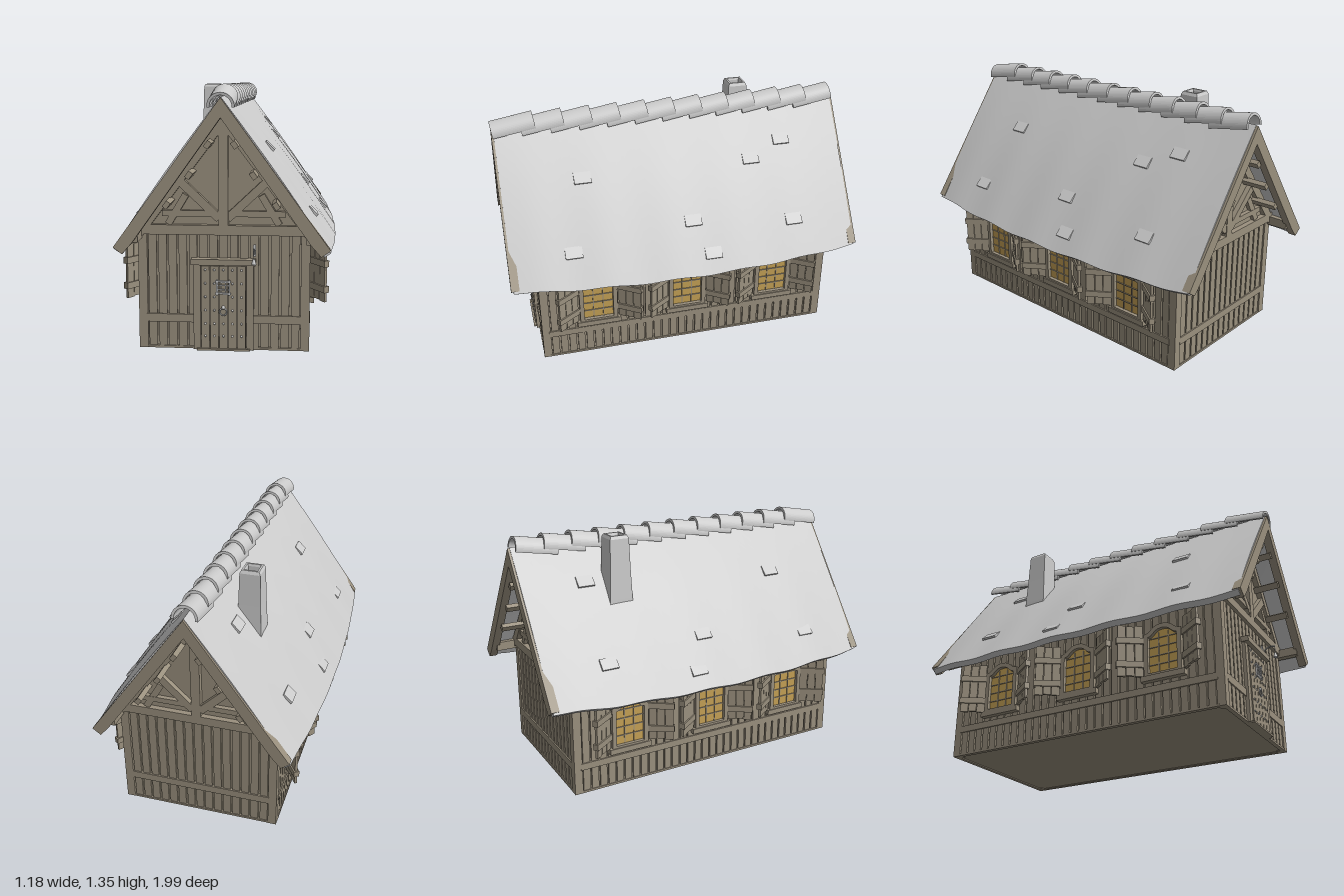
import * as THREE from 'three';

const grey = new THREE.MeshStandardMaterial({ color: 0xcccccc });
const wood = new THREE.MeshStandardMaterial({ color: 0x9a907e });
const glass = new THREE.MeshStandardMaterial({ color: 0xc4a055 });

function add(parent, name, geo, mat, x = 0, y = 0, z = 0) {
  const m = new THREE.Mesh(geo, mat);
  m.name = name;
  m.position.set(x, y, z);
  parent.add(m);
  return m;
}
const box = (parent, name, mat, w, h, d, x, y, z) =>
  add(parent, name, new THREE.BoxGeometry(w, h, d), mat, x, y, z);

function group(parent, name) {
  const g = new THREE.Group();
  g.name = name;
  parent.add(g);
  return g;
}

function extrude(points, depth) {
  const shape = new THREE.Shape(points.map(p => new THREE.Vector2(...p)));
  return new THREE.ExtrudeGeometry(shape, { depth, bevelEnabled: false });
}

// Roof surface: eaves bow outward and sag towards the middle of the house
const eaveX = z => 0.53 + 0.058 * (1 - z * z);
const eaveY = z => 0.545 - 0.027 * (1 - z * z) + 0.005 * Math.sin(17 * z);
const roofY = (t, z) => 1.29 - t * (1.29 - eaveY(z)) + 0.03 * Math.sin(Math.PI * t) * (1 - 0.5 * z * z);
const PITCH = 0.945;

function roofGeometry() {
  const g = new THREE.BoxGeometry(1, 1, 1.964, 14, 1, 40);
  const p = g.attributes.position;
  for (let i = 0; i < p.count; i++) {
    const t = p.getX(i) + 0.5, under = 0.5 - p.getY(i), z = p.getZ(i);
    const drop = 0.035 * under;
    p.setXYZ(i, Math.max(0, t * eaveX(z) - drop * Math.sin(PITCH) * t),
      roofY(t, z) - drop * (t > 0 ? Math.cos(PITCH) + 0.35 * (1 - t) : 1.7), z);
  }
  g.computeVertexNormals();
  return g;
}

// Arched outline used for the window frame, its opening and the pane
function archPath(target, w, bottom, shoulder, top) {
  target.moveTo(-w, bottom);
  target.lineTo(w, bottom);
  target.lineTo(w, shoulder);
  target.bezierCurveTo(w * 0.6, shoulder, w * 0.6, top, 0, top);
  target.bezierCurveTo(-w * 0.6, top, -w * 0.6, shoulder, -w, shoulder);
  return target;
}

// Window with open shutters, facing +z locally
function buildWindow(parent, along) {
  const g = group(parent, 'window');
  g.position.x = along;
  const frame = archPath(new THREE.Shape(), 0.108, 0.22, 0.465, 0.51);
  frame.holes.push(archPath(new THREE.Path(), 0.084, 0.24, 0.445, 0.485));
  add(g, 'windowFrame', new THREE.ExtrudeGeometry(frame, { depth: 0.032, bevelEnabled: false }), wood, 0, 0, 0.425);
  add(g, 'windowPane', new THREE.ShapeGeometry(archPath(new THREE.Shape(), 0.09, 0.235, 0.45, 0.49)), glass, 0, 0, 0.436);
  box(g, 'windowSill', wood, 0.25, 0.03, 0.045, 0, 0.213, 0.44);
  for (const x of [-0.028, 0.028]) box(g, 'glazingBar', wood, 0.005, 0.23, 0.008, x, 0.355, 0.437);
  for (const y of [0.29, 0.34, 0.39, 0.44]) box(g, 'glazingBar', wood, 0.168, 0.005, 0.008, 0, y, 0.437);
  for (const s of [-1, 1]) {
    const sh = group(g, 'shutter');
    sh.position.set(s * 0.118, 0, 0.44);
    sh.rotation.y = -s * 0.6;
    for (let i = 0; i < 3; i++)
      box(sh, 'shutterBoard', wood, 0.043, 0.29 - 0.008 * (i % 2), 0.014, s * (0.024 + i * 0.046), 0.378, 0);
    for (const y of [0.3, 0.435]) box(sh, 'shutterBatten', wood, 0.146, 0.034, 0.03, s * 0.072, y, 0);
  }
}

// Boarded long wall, facing +z locally
function buildSide(parent, angle) {
  const g = group(parent, 'sideWall');
  g.rotation.y = angle;
  const n = 32, pitch = 1.6 / n;
  for (let i = 0; i < n; i++)
    box(g, 'wallBoard', wood, pitch - 0.01, 0.6, 0.014, -0.8 + pitch * (i + 0.5), 0.3, 0.425);
  box(g, 'wallRail', wood, 1.62, 0.038, 0.025, 0, 0.158, 0.426);
  box(g, 'sillBeam', wood, 1.62, 0.012, 0.025, 0, 0.006, 0.424);
  for (const x of [-0.52, 0, 0.52]) buildWindow(g, x);
}

// Beam between two points in the gable plane
function beam(g, name, a, b, w, d, z) {
  const dx = b[0] - a[0], dy = b[1] - a[1];
  const m = box(g, name, wood, Math.hypot(dx, dy), w, d, (a[0] + b[0]) / 2, (a[1] + b[1]) / 2, z);
  m.rotation.z = Math.atan2(dy, dx);
}

// Gable wall with timber framing and overhanging barge boards, facing +z locally
function buildGable(parent, angle) {
  const g = group(parent, 'gableWall');
  g.rotation.y = angle;
  for (let i = 0; i < 15; i++)
    box(g, 'wallBoard', wood, 0.042, 0.6, 0.014, -0.364 + i * 0.052, 0.3, 0.834);
  box(g, 'wallRail', wood, 0.79, 0.042, 0.024, 0, 0.16, 0.836);
  box(g, 'sillBeam', wood, 0.79, 0.012, 0.024, 0, 0.006, 0.834);
  box(g, 'tieBeam', wood, 0.88, 0.05, 0.04, 0, 0.622, 0.84);
  box(g, 'upperTie', wood, 0.62, 0.03, 0.03, 0, 0.705, 0.84);
  box(g, 'kingPost', wood, 0.05, 0.53, 0.04, 0, 0.91, 0.84);
  for (const s of [-1, 1]) {
    box(g, 'cornerPost', wood, 0.046, 0.62, 0.046, s * 0.413, 0.31, 0.824);
    beam(g, 'brace', [s * 0.02, 0.68], [s * 0.215, 0.865], 0.042, 0.035, 0.84);
    beam(g, 'brace', [s * 0.28, 0.65], [s * 0.19, 0.80], 0.035, 0.03, 0.838);
    beam(g, 'rafter', [0, 1.17], [s * 0.43, 0.6], 0.045, 0.04, 0.84);
    add(g, 'bargeBoard', extrude(s > 0
      ? [[0, 1.19], [0.44, 0.575], [0.487, 0.522], [0.532, 0.555], [0, 1.287]]
      : [[0, 1.287], [-0.532, 0.555], [-0.487, 0.522], [-0.44, 0.575], [0, 1.19]], 0.045), wood, 0, 0, 0.95);
    for (const [x, y] of [[0.065, 1.06], [0.157, 0.912], [0.268, 0.765]]) {
      const p = box(g, 'purlin', wood, 0.036, 0.026, 0.16, s * x, y, 0.895);
      p.rotation.z = -s * PITCH;
    }
    box(g, 'wallPlate', wood, 0.04, 0.05, 0.15, s * 0.435, 0.6, 0.89);
  }
}

function buildDoor(parent) {
  const g = group(parent, 'door');
  box(g, 'doorBacking', wood, 0.23, 0.43, 0.02, 0, 0.225, 0.845);
  for (let i = 0; i < 5; i++) {
    const x = (i - 2) * 0.046;
    box(g, 'doorBoard', wood, 0.042, 0.43, 0.014, x, 0.225, 0.858);
    for (const y of [0.075, 0.14, 0.21, 0.28, 0.35, 0.42])
      if (i !== 2 || y < 0.15 || y > 0.4)
        add(g, 'rivet', new THREE.SphereGeometry(0.006, 8, 6), grey, x, y, 0.865);
  }
  for (const s of [-1, 1]) box(g, 'doorJamb', wood, 0.036, 0.45, 0.03, s * 0.135, 0.225, 0.845);
  box(g, 'doorLintel', wood, 0.325, 0.03, 0.05, 0, 0.462, 0.858);
  box(g, 'doorStep', wood, 0.27, 0.01, 0.04, 0, 0.005, 0.855);
  // Barred peephole
  for (const s of [-1, 1]) {
    box(g, 'grilleFrame', grey, 0.008, 0.08, 0.012, s * 0.031, 0.33, 0.869);
    box(g, 'grilleFrame', grey, 0.08, 0.008, 0.012, 0, 0.33 + s * 0.031, 0.869);
    box(g, 'grilleBar', grey, 0.004, 0.062, 0.008, s * 0.011, 0.33, 0.869);
    box(g, 'grilleBar', grey, 0.062, 0.004, 0.008, 0, 0.33 + s * 0.011, 0.869);
  }
  add(g, 'knockerRing', new THREE.TorusGeometry(0.018, 0.004, 8, 20), grey, 0, 0.205, 0.872);
  add(g, 'knockerBoss', new THREE.SphereGeometry(0.01, 10, 8), grey, 0, 0.226, 0.869);
  // Hanging bell on a curved bracket
  const bell = group(parent, 'doorBell');
  bell.position.set(0.157, 0, 0);
  box(bell, 'bellPlate', grey, 0.014, 0.06, 0.008, 0, 0.52, 0.846);
  const arm = new THREE.QuadraticBezierCurve3(new THREE.Vector3(0, 0.5, 0.846),
    new THREE.Vector3(0, 0.55, 0.88), new THREE.Vector3(0, 0.53, 0.92));
  add(bell, 'bellArm', new THREE.TubeGeometry(arm, 10, 0.004, 6), grey);
  add(bell, 'bellChain', new THREE.CylinderGeometry(0.002, 0.002, 0.05, 6), grey, 0, 0.51, 0.92);
  add(bell, 'bellCup', new THREE.CylinderGeometry(0.005, 0.013, 0.028, 12), grey, 0, 0.478, 0.92);
  add(bell, 'bellClapper', new THREE.SphereGeometry(0.005, 8, 6), grey, 0, 0.461, 0.92);
}

function buildChimney(parent) {
  const g = group(parent, 'chimney');
  g.position.set(-0.188, 0, -0.46);
  // Square lathe with a hollow top
  const k = Math.SQRT2;
  const profile = [[0.069, 0.85], [0.066, 1.0], [0.06, 1.15], [0.055, 1.325], [0.047, 1.342],
    [0.037, 1.342], [0.033, 1.33], [0.033, 1.2], [0, 1.2]];
  const geo = new THREE.LatheGeometry(profile.map(([r, y]) => new THREE.Vector2(r * k, y)), 4, Math.PI / 4).toNonIndexed();
  geo.computeVertexNormals();
  const mat = grey.clone();
  mat.side = THREE.DoubleSide;
  add(g, 'chimneyStack', geo, mat);
}

function buildRoof(parent) {
  const g = group(parent, 'roof');
  const geo = roofGeometry();
  for (const s of [0, 1]) add(g, 'roofSlope', geo, grey).rotation.y = s * Math.PI;
  // A few lifted shingles
  const spots = [[0.16, -0.63], [0.44, -0.63], [0.52, -0.13], [0.41, -0.04], [0.22, 0.54], [0.45, 0.64], [0.22, -0.43]];
  for (const s of [-1, 1]) for (const [x, z] of spots) {
    if (s < 0 && z === -0.43) continue;
    const m = box(g, 'liftedShingle', grey, 0.065, 0.012, 0.095, s * x, roofY(x / eaveX(z), z) + 0.003, z);
    m.rotation.z = -s * (PITCH - 0.16);
  }
  // Overlapping half-round ridge tiles
  const half = new THREE.Shape();
  half.absarc(0, 0, 0.067, -0.1, Math.PI + 0.1, false);
  half.absarc(0, 0, 0.053, Math.PI + 0.1, -0.1, true);
  const cap = new THREE.ExtrudeGeometry(half, { depth: 0.236, bevelEnabled: false, curveSegments: 14 });
  cap.translate(0, 0, -0.118);
  for (let i = 0; i < 12; i++)
    add(g, 'ridgeTile', cap, grey, 0, 1.264, 0.872 - i * 0.157).rotation.x = 0.165;
}

export function createModel() {
  const model = new THREE.Group();
  model.name = 'cottage';
  box(model, 'wallCore', wood, 0.84, 0.6, 1.66, 0, 0.306, 0);
  add(model, 'atticCore', extrude([[-0.42, 0.6], [0.42, 0.6], [0, 1.2]], 1.66), wood, 0, 0, -0.83);
  for (const a of [0, Math.PI]) {
    buildGable(model, a);
    buildSide(model, a + Math.PI / 2);
  }
  buildDoor(model);
  buildRoof(model);
  buildChimney(model);
  return model;
}
